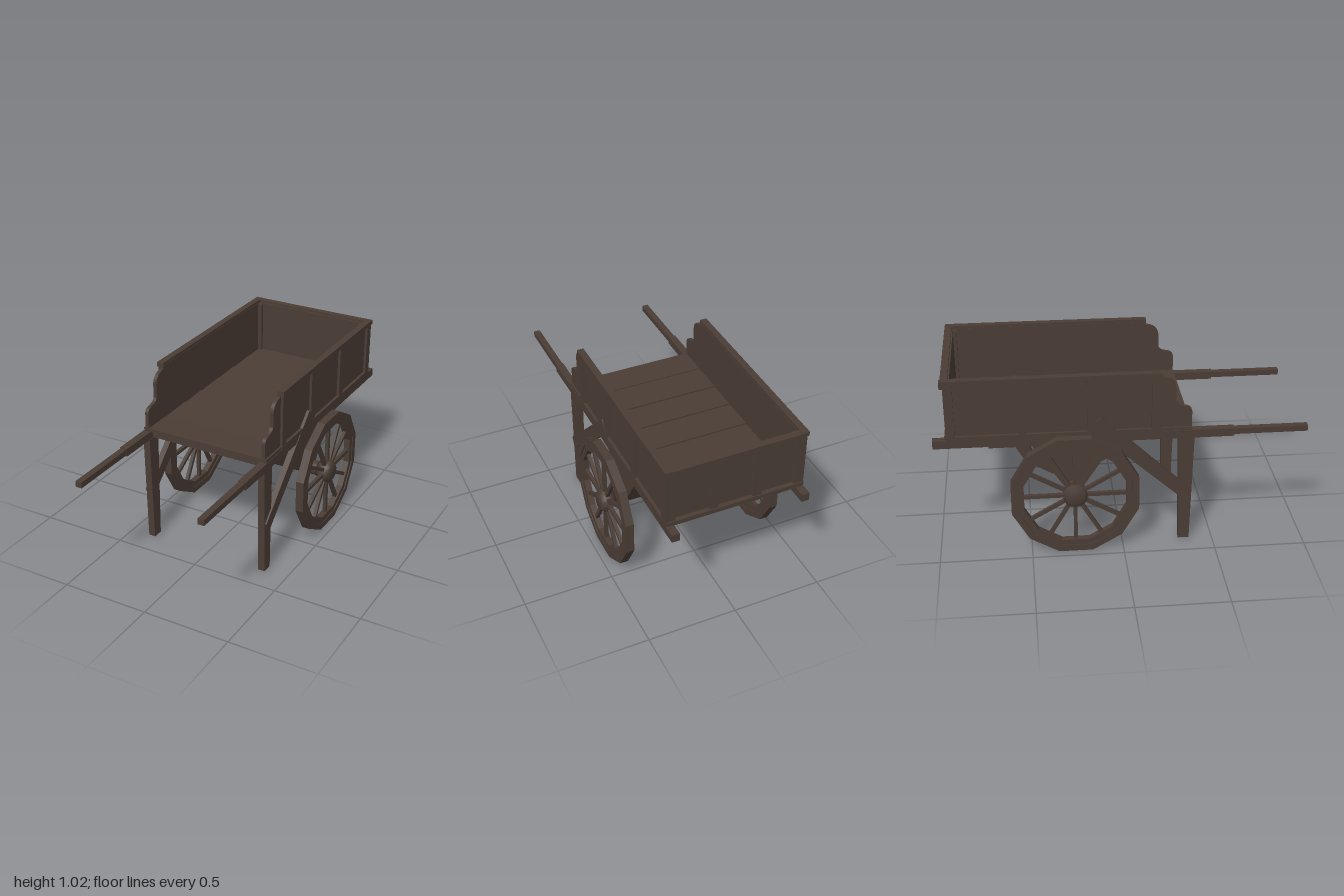
import * as THREE from 'three';

const wood = new THREE.MeshStandardMaterial({ color: 0x4a3d35 });
wood.name = 'dark wood';

function add(parent, name, geometry) {
  const mesh = new THREE.Mesh(geometry, wood);
  mesh.name = name;
  parent.add(mesh);
  return mesh;
}

// Box given by its limits on each axis
function box(parent, name, [x0, x1], [y0, y1], [z0, z1]) {
  const mesh = add(parent, name, new THREE.BoxGeometry(x1 - x0, y1 - y0, z1 - z0));
  mesh.position.set((x0 + x1) / 2, (y0 + y1) / 2, (z0 + z1) / 2);
  return mesh;
}

// Side profile in (z, y), extruded across x and centred on it
function profile(shape, width) {
  return new THREE.ExtrudeGeometry(shape, { depth: width, bevelEnabled: false, curveSegments: 8 })
    .translate(0, 0, -width / 2)
    .rotateY(-Math.PI / 2);
}

const polygon = (points) => new THREE.Shape(points.map(([z, y]) => new THREE.Vector2(z, y)));

// Twelve-sided ring with flat sides facing up and down
function ring(outer, inner, width) {
  const corners = (apothem) => Array.from({ length: 12 }, (_, i) => {
    const a = ((i + 0.5) * Math.PI) / 6;
    const r = apothem / Math.cos(Math.PI / 12);
    return [r * Math.cos(a), r * Math.sin(a)];
  });
  const shape = polygon(corners(outer));
  shape.holes.push(polygon(corners(inner)));
  return profile(shape, width);
}

function makeWheel(name) {
  const wheel = new THREE.Group();
  wheel.name = name;
  add(wheel, 'wheelTyre', ring(0.344, 0.308, 0.046));
  add(wheel, 'wheelRim', ring(0.31, 0.275, 0.036));
  for (let i = 0; i < 12; i++) {
    const spoke = add(wheel, 'spoke', new THREE.BoxGeometry(0.02, 0.25, 0.02).translate(0, 0.165, 0));
    spoke.rotation.x = (i * Math.PI) / 6;
  }
  // Hub with a tapered outer cap
  const hub = [[0, -0.05], [0.046, -0.05], [0.046, -0.03], [0.066, -0.022], [0.066, 0.02], [0.048, 0.04], [0, 0.04]];
  add(wheel, 'hub', new THREE.LatheGeometry(hub.map(([r, y]) => new THREE.Vector2(r, y)), 16)
    .toNonIndexed().rotateZ(-Math.PI / 2));
  return wheel;
}

// Everything on one side of the bed; s is +1 for left, -1 for right
function makeSide(body, s) {
  const side = new THREE.Group();
  side.name = s > 0 ? 'leftSide' : 'rightSide';
  body.add(side);
  const sx = (a, b) => (s > 0 ? [a, b] : [-b, -a]);

  // Long shaft with a thinner front grip
  box(side, 'shaft', sx(0.34, 0.383), [0.637, 0.682], [-1, 0.6]);
  box(side, 'shaftGrip', sx(0.343, 0.379), [0.645, 0.678], [0.6, 1]);

  // Side board with a stepped, rounded front end
  const board = new THREE.Shape();
  board.moveTo(-0.915, 0.69);
  board.lineTo(0.37, 0.69);
  board.lineTo(0.37, 0.79);
  board.quadraticCurveTo(0.365, 0.815, 0.335, 0.82);
  board.quadraticCurveTo(0.29, 0.825, 0.282, 0.85);
  board.lineTo(0.282, 0.93);
  board.quadraticCurveTo(0.275, 0.985, 0.205, 0.992);
  board.lineTo(0.205, 1.01);
  board.lineTo(-0.915, 1.01);
  add(side, 'sideBoard', profile(board, 0.02)).position.x = s * 0.36;
  box(side, 'topRail', sx(0.352, 0.39), [1.0, 1.025], [-0.935, 0.208]);
  box(side, 'bottomRail', sx(0.35, 0.386), [0.68, 0.703], [-0.93, 0.205]);
  for (const z of [0.178, -0.163, -0.528, -0.903]) {
    box(side, 'sidePost', sx(0.36, 0.385), [0.695, 1.01], [z - 0.024, z + 0.024]);
  }
  box(side, 'innerCornerPost', sx(0.325, 0.36), [0.7, 1.005], [-0.9, -0.875]);

  // Tapered front leg and the diagonal brace
  const leg = polygon([[0.312, 0.005], [0.372, 0.005], [0.386, 0.64], [0.3, 0.64]]);
  add(side, 'frontLeg', profile(leg, 0.04)).position.x = s * 0.357;
  const brace = polygon([[0.345, 0.25], [0.375, 0.31], [-0.115, 0.778], [-0.172, 0.718]]);
  add(side, 'legBrace', profile(brace, 0.033)).position.x = s * 0.37;
}

export function createModel() {
  const cart = new THREE.Group();
  cart.name = 'handCart';

  const body = new THREE.Group();
  body.name = 'cartBody';
  body.position.x = -0.007;
  cart.add(body);
  makeSide(body, 1);
  makeSide(body, -1);

  // Floor planks, each slightly pitched so its edge shows
  const seams = [0.373, 0.197, 0.0, -0.185, -0.38, -0.57, -0.76, -0.92];
  for (let i = 0; i < seams.length - 1; i++) {
    const w = i === 0 ? 0.38 : 0.36;
    const plank = box(body, 'floorPlank', [-w, w], [0.682, 0.701], [seams[i + 1] + 0.002, seams[i] - 0.002]);
    plank.rotation.x = i === 0 ? 0 : 0.03;
  }

  // Tailboard with rails and posts
  box(body, 'backBoard', [-0.36, 0.36], [0.69, 1.01], [-0.91, -0.892]);
  box(body, 'backTopRail', [-0.375, 0.375], [1.0, 1.023], [-0.938, -0.9]);
  box(body, 'backBottomRail', [-0.375, 0.375], [0.68, 0.705], [-0.935, -0.9]);
  for (const x of [-0.355, -0.12, 0.12, 0.355]) {
    box(body, 'backPost', [x - 0.024, x + 0.024], [0.695, 1.01], [-0.928, -0.9]);
  }

  // Cross beam between the front legs and the plank under the bed
  box(body, 'frontCrossBeam', [-0.342, 0.342], [0.638, 0.68], [0.3, 0.345]);
  box(body, 'underPlank', [-0.34, 0.34], [0.605, 0.64], [-0.71, 0.0]);

  // Wedge that carries the axle, rounded at the bottom
  const wedge = new THREE.Shape();
  wedge.moveTo(-0.5, 0.636);
  wedge.lineTo(-0.3, 0.33);
  wedge.quadraticCurveTo(-0.285, 0.302, -0.26, 0.302);
  wedge.quadraticCurveTo(-0.235, 0.302, -0.22, 0.33);
  wedge.lineTo(-0.02, 0.636);
  add(body, 'axleWedge', profile(wedge, 0.68));

  // Axle and wheels
  const axle = add(cart, 'axle', new THREE.CylinderGeometry(0.042, 0.042, 0.8, 16).rotateZ(Math.PI / 2));
  axle.position.set(0, 0.345, -0.26);
  for (const s of [1, -1]) {
    const wheel = makeWheel(s > 0 ? 'leftWheel' : 'rightWheel');
    wheel.position.set(s * 0.43, 0.345, -0.26);
    if (s < 0) wheel.rotation.y = Math.PI;
    cart.add(wheel);
  }
  return cart;
}
